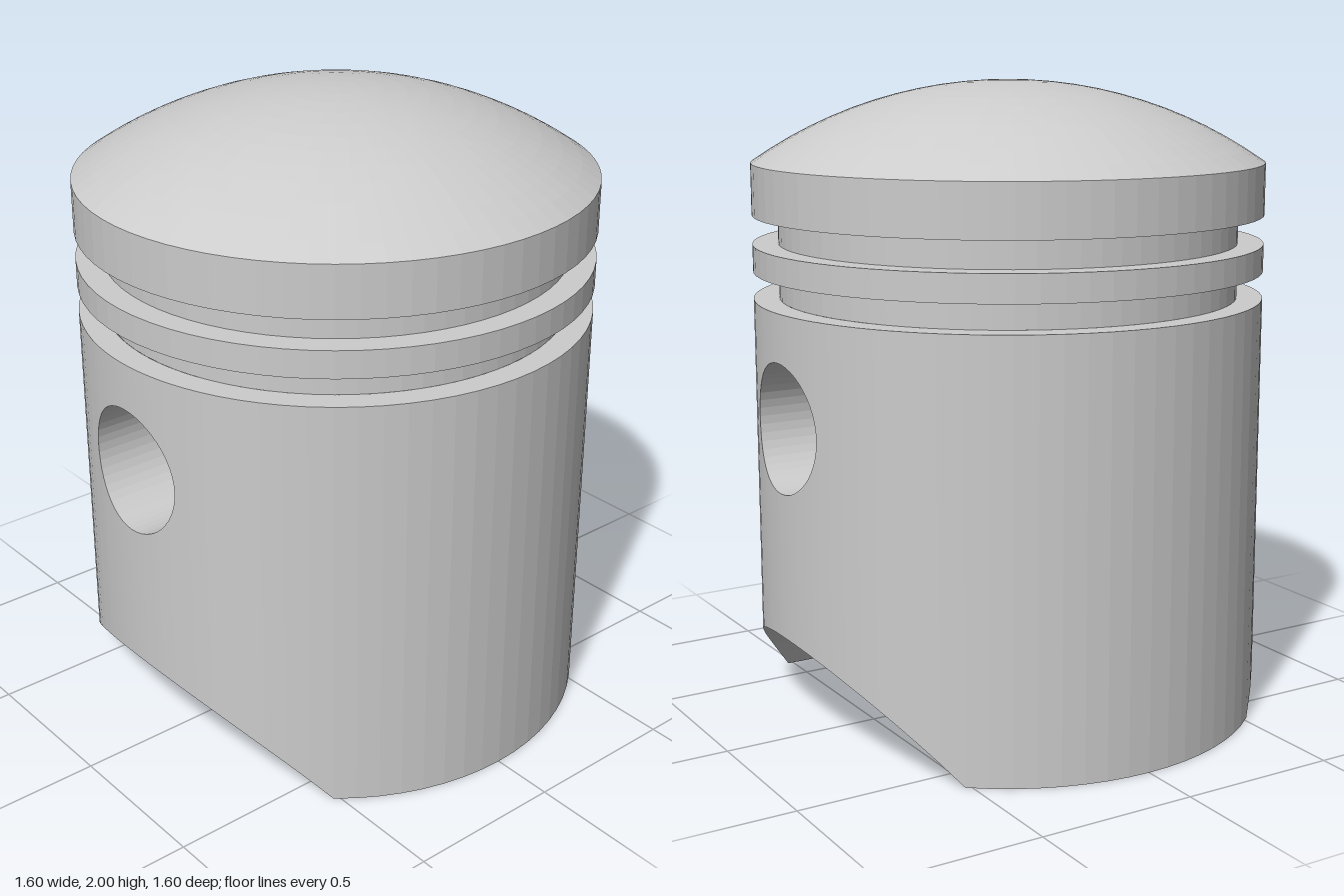
import * as THREE from 'three';

const R = 0.8, RI = 0.72;                    // outer radius; inner wall and groove radius
const SKIRT_TOP = 1.33, ROOF = 1.29;         // top of skirt, ceiling of the hollow
const RIM = 1.75, TOP = 2;                   // edge and summit of the domed crown
const PIN_Y = 0.98, PIN_R = 0.2, BOSS_R = 0.29, BOSS_Z = 0.41;
const ARCH_X = 0.61, ARCH_R = 0.735, ARCH_Y = -0.41;

const material = new THREE.MeshStandardMaterial({ color: 0xcccccc, flatShading: true });

// Joins consecutive rows of points in pairs: [rowA, rowB], [rowA, rowB], ...
function strips(name, pairs) {
  const pos = [];
  for (const [a, b] of pairs) {
    for (let i = 0; i < a.length - 1; i++) {
      pos.push(...a[i], ...a[i + 1], ...b[i + 1], ...a[i], ...b[i + 1], ...b[i]);
    }
  }
  const geometry = new THREE.BufferGeometry();
  geometry.setAttribute('position', new THREE.Float32BufferAttribute(pos, 3));
  geometry.computeVertexNormals();
  return named(name, geometry);
}

function named(name, geometry) {
  const mesh = new THREE.Mesh(geometry, material);
  mesh.name = name;
  return mesh;
}

// Wall columns once around: outer and inner plan point, lower edge, half height of pin hole
function wallColumns() {
  const xs = [];
  for (let i = 0; i < 8; i++) xs.push(-ARCH_X + (ARCH_X - PIN_R) * i / 8);
  for (let i = 0; i <= 24; i++) xs.push(-PIN_R * Math.cos(Math.PI * i / 24));
  for (let i = 1; i <= 8; i++) xs.push(PIN_R + (ARCH_X - PIN_R) * i / 8);

  const half = xs.map((x) => ({
    o: [x, Math.sqrt(R * R - x * x)],
    n: [x, Math.sqrt(RI * RI - x * x)],
    low: Math.max(0, ARCH_Y + Math.sqrt(ARCH_R * ARCH_R - x * x)),
    h: Math.sqrt(Math.max(0, PIN_R * PIN_R - x * x)),
  }));
  // Foot between the two arches
  const onFoot = (r, t) => {
    const start = Math.asin(ARCH_X / r), a = start + (Math.PI - 2 * start) * t;
    return [r * Math.sin(a), r * Math.cos(a)];
  };
  for (let i = 1; i < 16; i++) {
    half.push({ o: onFoot(R, i / 16), n: onFoot(RI, i / 16), low: 0, h: 0 });
  }
  const turn = ([x, z]) => [-x, -z];
  const back = half.map((c) => ({ ...c, o: turn(c.o), n: turn(c.n) }));
  return [...half, ...back, half[0]];
}

function createSkirt() {
  const cols = wallColumns();
  const row = (side, y) => cols.map((c) => [c[side][0], y(c), c[side][1]]);
  const low = (c) => c.low, top = () => SKIRT_TOP, roof = () => ROOF;
  const holeLow = (c) => PIN_Y - c.h, holeHigh = (c) => PIN_Y + c.h;
  const centre = cols.map(() => [0, ROOF, 0]);

  const skirt = new THREE.Group();
  skirt.name = 'skirt';
  skirt.add(
    strips('outerWall', [[row('o', low), row('o', holeLow)], [row('o', holeHigh), row('o', top)]]),
    strips('innerWall', [[row('n', holeLow), row('n', low)], [row('n', roof), row('n', holeHigh)]]),
    strips('lowerEdge', [[row('n', low), row('o', low)]]),
    strips('grooveLedge', [[row('o', top), row('n', top)]]),
    strips('innerRoof', [[centre, row('n', roof)]]),
  );
  return skirt;
}

// Tubular boss around the pin hole, running inward from the wall
function createPinBoss(name) {
  const ring = (r, z) => Array.from({ length: 49 }, (_, i) => {
    const a = Math.PI * i / 24, x = r * Math.cos(a);
    return [x, PIN_Y + r * Math.sin(a), z(x)];
  });
  const outside = (x) => Math.sqrt(R * R - x * x);
  const inside = (x) => Math.sqrt(RI * RI - x * x);
  const end = () => BOSS_Z;
  return strips(name, [
    [ring(PIN_R, outside), ring(PIN_R, end)],
    [ring(BOSS_R, end), ring(BOSS_R, inside)],
    [ring(PIN_R, end), ring(BOSS_R, end)],
  ]);
}

// Ring grooves, top land and domed crown
function createCrown() {
  const profile = [
    [RI, SKIRT_TOP], [RI, 1.415], [R, 1.415], [R, 1.5],
    [RI, 1.5], [RI, 1.59], [R, 1.59], [R, RIM],
  ];
  const rise = TOP - RIM, domeR = (R * R + rise * rise) / (2 * rise);
  const span = Math.asin(R / domeR);
  for (let i = 11; i >= 0; i--) {
    const a = span * i / 12;
    profile.push([domeR * Math.sin(a), TOP - domeR + domeR * Math.cos(a)]);
  }
  const lathe = new THREE.LatheGeometry(profile.map(([x, y]) => new THREE.Vector2(x, y)), 72);
  const flat = lathe.toNonIndexed();
  flat.computeVertexNormals();
  return named('crown', flat);
}

export function createModel() {
  const piston = new THREE.Group();
  piston.name = 'piston';
  const backBoss = createPinBoss('backPinBoss');
  backBoss.rotation.y = Math.PI;
  piston.add(createCrown(), createSkirt(), createPinBoss('frontPinBoss'), backBoss);
  return piston;
}
